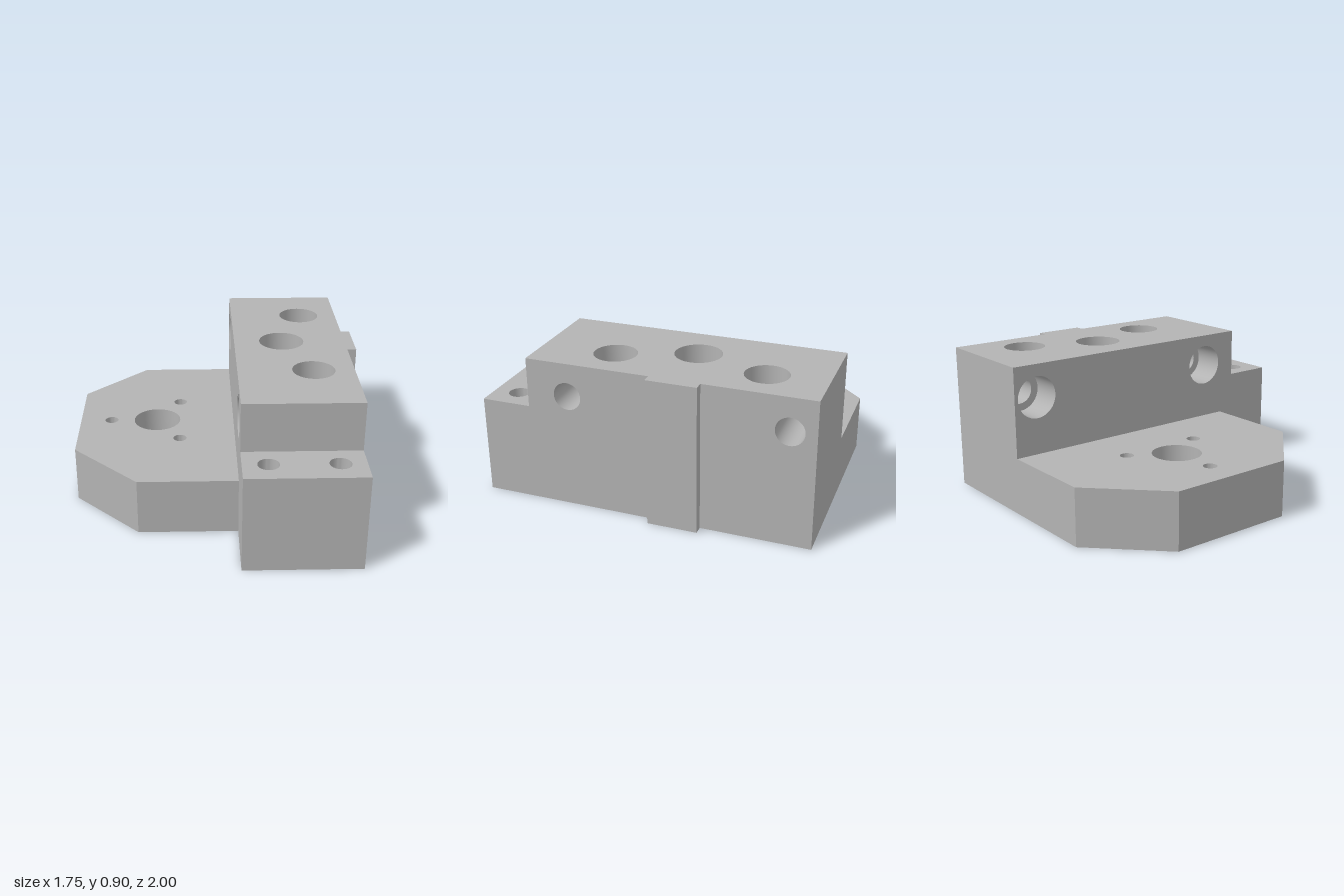
import * as THREE from 'three';
import { toCreasedNormals } from 'three/addons/utils/BufferGeometryUtils.js';

const metal = new THREE.MeshStandardMaterial({ color: 0xb3b3b3, side: THREE.DoubleSide });
metal.name = 'machined grey';

const TOP = 0.9, STEP = 0.6, BASE = 0.35;   // deck heights
const X0 = 0.12, X1 = 0.82;                 // sides of the tall block

export function createModel() {
  const model = new THREE.Group();
  const add = (name, geometry) => {
    const mesh = new THREE.Mesh(geometry, metal);
    mesh.name = name;
    model.add(mesh);
    return mesh;
  };

  // Flat face from a 2D outline with round holes [u, v, radius]
  const flat = (points, holes = []) => {
    const shape = new THREE.Shape(points.map(([u, v]) => new THREE.Vector2(u, v)));
    for (const [u, v, r] of holes) shape.holes.push(new THREE.Path().absarc(u, v, r, 0, Math.PI * 2, true));
    return new THREE.ShapeGeometry(shape, 24);
  };
  const flip = (list, i) => list.map(p => p.map((n, k) => (k === i ? -n : n)));
  // Outlines are given as (x, z) for decks and (z, y) for sides
  const deckUp = (name, y, pts, holes = []) =>
    add(name, flat(flip(pts, 1), flip(holes, 1)).rotateX(-Math.PI / 2).translate(0, y, 0));
  const deckDown = (name, y, pts, holes = []) =>
    add(name, flat(pts, holes).rotateX(Math.PI / 2).translate(0, y, 0));
  const sideRight = (name, x, pts, holes = []) =>
    add(name, flat(flip(pts, 0), flip(holes, 0)).rotateY(Math.PI / 2).translate(x, 0, 0));
  const sideLeft = (name, x, pts, holes = []) =>
    add(name, flat(pts, holes).rotateY(-Math.PI / 2).translate(x, 0, 0));
  const rect = (a, b, c, d) => [[a, b], [c, b], [c, d], [a, d]];

  // Upright wall; outside lies to the right of a -> b seen from above with z down
  const wall = (name, [ax, az], [bx, bz], y0, y1) => {
    const dx = bx - ax, dz = bz - az, length = Math.hypot(dx, dz);
    const g = new THREE.PlaneGeometry(length, y1 - y0);
    g.rotateY(Math.atan2(-dz, dx)).translate((ax + bx) / 2, (y0 + y1) / 2, (az + bz) / 2);
    return add(name, g);
  };

  // Bore lining: profile of [radius, depth] from the mouth inwards
  const bore = (name, profile, x, y, z, sideways = false) => {
    const g = toCreasedNormals(
      new THREE.LatheGeometry(profile.map(([r, d]) => new THREE.Vector2(r, -d)), 48), 0.6);
    if (sideways) g.rotateZ(Math.PI / 2);
    add(name, g.translate(x, y, z));
  };
  const blind = (r, d) => [[r, 0], [r, d], [0, d]];
  const stepped = (R, d, r, length) => [[R, 0], [R, d], [r, d], [r, length]];

  // Hole positions
  const shaft = [-0.38, -0.2, 0.15];
  const pins = [[-0.68, -0.2], [-0.23, -0.46], [-0.23, 0.06]].map(p => [...p, 0.042]);
  const bolts = [[0.575, -0.65], [0.575, 0.25]];
  const pocket = [0.42, -0.2, 0.14];
  const stepHoles = [[0.27, 0.845, 0.063], [0.67, 0.845, 0.063]];
  const crossBolts = [[0.45, 0.7], [-0.85, 0.7]];
  const sized = (list, r) => list.map(p => [...p, r]);
  const R = 0.128, r = 0.083;

  // Underside and decks
  const chamfered = [[X0, -1], [-0.48, -1], [-0.88, -0.6], [-0.88, 0.2], [-0.48, 0.6], [X0, 0.6]];
  deckDown('underside', 0, [...chamfered, [X0, 1], [X1, 1], [X1, -1]], [shaft, ...sized(bolts, r)]);
  deckUp('baseDeck', BASE, chamfered, [shaft, ...pins]);
  deckUp('blockDeck', TOP, rect(X0, -1, X1, 0.7), [...sized(bolts, R), pocket]);
  deckUp('stepDeck', STEP, rect(X0, 0.7, X1, 1), stepHoles);

  // Base plate rim
  for (let i = 0; i < chamfered.length - 1; i++)
    wall('baseRim', chamfered[i], chamfered[i + 1], 0, BASE);

  // Tall block sides and ends
  sideRight('blockRightSide', X1,
    [[-1, 0], [1, 0], [1, STEP], [0.7, STEP], [0.7, TOP], [-1, TOP]], sized(crossBolts, r));
  sideLeft('blockLeftSide', X0,
    [[-1, BASE], [0.6, BASE], [0.6, 0], [1, 0], [1, STEP], [0.7, STEP], [0.7, TOP], [-1, TOP]],
    sized(crossBolts, R));
  wall('blockBack', [X1, -1], [X0, -1], 0, TOP);
  wall('blockFront', [X0, 1], [X1, 1], 0, STEP);
  wall('stepRiser', [X0, 0.7], [X1, 0.7], STEP, TOP);

  // Locating rib
  add('locatingRib', new THREE.BoxGeometry(0.055, TOP, 0.3).translate(X1 + 0.0275, TOP / 2, -0.2));

  // Bores
  bore('shaftBore', [[shaft[2], 0], [shaft[2], BASE]], shaft[0], BASE, shaft[1]);
  for (const [x, z, pr] of pins) bore('pinHole', blind(pr, 0.2), x, BASE, z);
  for (const [x, z] of bolts) bore('boltBore', stepped(R, 0.15, r, TOP), x, TOP, z);
  bore('pocketBore', blind(pocket[2], 0.4), pocket[0], TOP, pocket[1]);
  for (const [x, z, sr] of stepHoles) bore('stepHole', blind(sr, 0.3), x, STEP, z);
  for (const [z, y] of crossBolts) bore('crossBoltBore', stepped(R, 0.2, r, X1 - X0), X0, y, z, true);

  return model;
}
